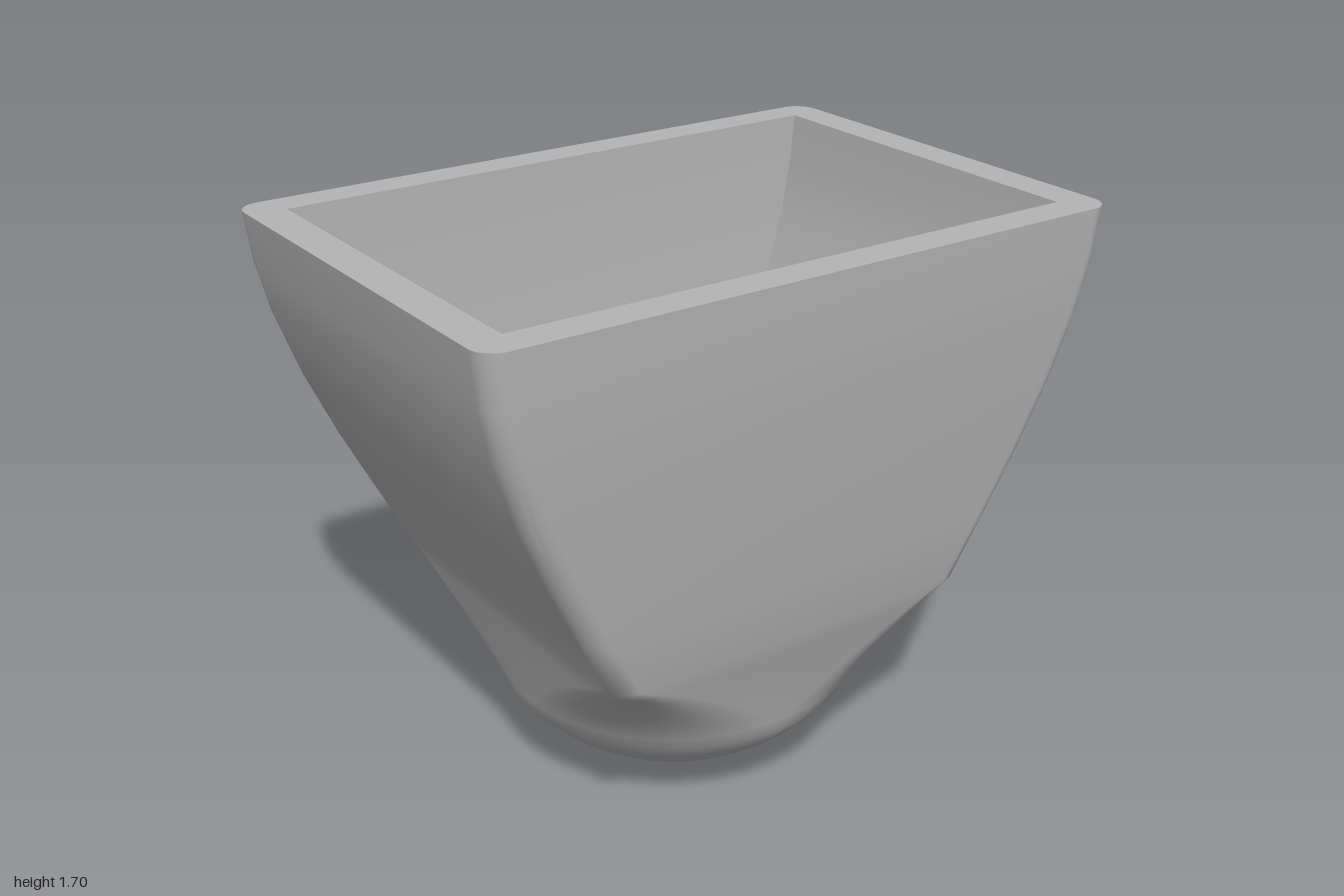
import * as THREE from 'three';
import { toCreasedNormals } from 'three/addons/utils/BufferGeometryUtils.js';

// Rounded-rectangle ring: half sizes hx, hz, corner radius r, n segments per corner
function ring(y, hx, hz, r, n) {
  const pts = [];
  const signs = [[1, 1], [-1, 1], [-1, -1], [1, -1]];
  signs.forEach(([sx, sz], q) => {
    for (let i = 0; i <= n; i++) {
      const a = (q + (n ? i / n : 0.5)) * Math.PI / 2;
      pts.push(new THREE.Vector3(
        sx * (hx - r) + r * Math.cos(a), y, sz * (hz - r) + r * Math.sin(a)));
    }
  });
  return pts;
}

// Skin between rings; listed bottom-up it faces outward, top-down inward
function loft(rings, crease) {
  const pos = [];
  const tri = (a, b, c) => {
    const area = b.clone().sub(a).cross(c.clone().sub(a)).length();
    if (area > 1e-7) for (const p of [a, b, c]) pos.push(p.x, p.y, p.z);
  };
  for (let k = 0; k < rings.length - 1; k++) {
    const lo = rings[k], hi = rings[k + 1], m = lo.length;
    for (let i = 0; i < m; i++) {
      const j = (i + 1) % m;
      tri(lo[i], hi[i], lo[j]);
      tri(lo[j], hi[i], hi[j]);
    }
  }
  const g = new THREE.BufferGeometry();
  g.setAttribute('position', new THREE.Float32BufferAttribute(pos, 3));
  return toCreasedNormals(g, crease);
}

export function createModel() {
  const group = new THREE.Group();
  const grey = new THREE.MeshStandardMaterial({ color: 0xb4b4b4 });
  const add = (name, geometry) => {
    const mesh = new THREE.Mesh(geometry, grey);
    mesh.name = name;
    group.add(mesh);
  };

  const N = 10, corner = 0.07, top = 1.7;
  // Flared upper wall: height, half width, half depth
  const wall = [
    [0.62, 0.605, 0.605], [0.8, 0.695, 0.625], [1.0, 0.793, 0.645], [1.2, 0.88, 0.662],
    [1.4, 0.948, 0.678], [1.55, 0.982, 0.686], [top, 1.0, 0.69],
  ];

  // Outer shell: round cap, round-to-square blend, flared wall
  const outer = [];
  const R = 0.665, capAngle = Math.asin(0.535 / R);
  for (let i = 0; i <= 8; i++) {
    const a = capAngle * i / 8, r = R * Math.sin(a);
    outer.push(ring(R * (1 - Math.cos(a)), r, r, r, N));
  }
  for (let i = 1; i < 8; i++) {
    const t = i / 8, h = 0.535 + 0.07 * t;
    outer.push(ring(0.27 + 0.35 * t, h, h, THREE.MathUtils.lerp(h, corner, t ** 1.3), N));
  }
  wall.forEach(([y, hx, hz]) => outer.push(ring(y, hx, hz, corner, N)));
  add('outerShell', loft(outer, 0.75));

  // Flat rim around the opening
  const rim = new THREE.Shape(ring(0, 1.0, 0.69, corner, N).map(p => new THREE.Vector2(p.x, p.z)));
  rim.holes.push(new THREE.Path(ring(0, 0.89, 0.585, 0, 0).map(p => new THREE.Vector2(p.x, p.z))));
  const rimGeometry = new THREE.ShapeGeometry(rim);
  rimGeometry.rotateX(-Math.PI / 2);
  rimGeometry.translate(0, top, 0);
  add('rim', rimGeometry);

  // Main cavity follows the flare, ending at a ledge
  const ledge = 0.6;
  const cavity = wall.slice(1).reverse().map(([y, hx, hz]) => ring(y, hx - 0.11, hz - 0.105, 0, 0));
  cavity.push(ring(ledge, 0.485, 0.5, 0, 0));
  add('cavityWalls', loft(cavity, 0.5));
  add('ledge', loft([ring(ledge, 0.485, 0.5, 0, 0), ring(ledge, 0.32, 0.5, 0, 0)], 0.3));

  // Lower tapered pocket and its floor
  add('lowerPocket', loft([
    ring(ledge, 0.32, 0.5, 0, 0), ring(0.28, 0.215, 0.4, 0, 0), ring(0.28, 0, 0, 0, 0),
  ], 0.3));

  return group;
}
